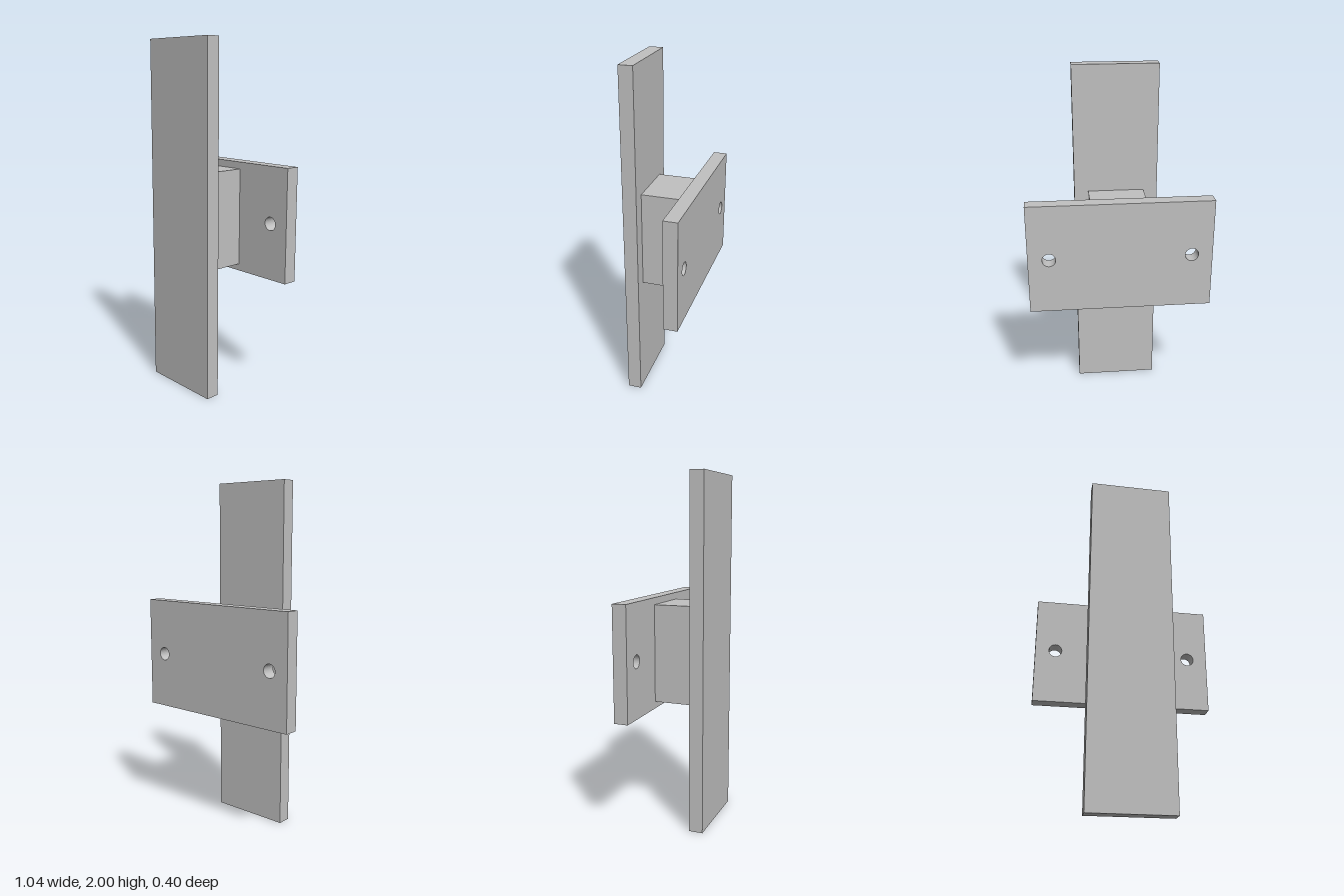
import * as THREE from 'three';

export function createModel() {
  const group = new THREE.Group();
  const grey = new THREE.MeshStandardMaterial({ color: 0xc0c0c0 });
  grey.name = 'grey';

  const add = (name, geometry, y, z) => {
    const mesh = new THREE.Mesh(geometry, grey);
    mesh.name = name;
    mesh.position.set(0, y, z);
    group.add(mesh);
  };

  // Tall front plate and the block joining it to the mount
  add('frontPlate', new THREE.BoxGeometry(0.48, 2, 0.08), 1, 0.16);
  add('spacerBlock', new THREE.BoxGeometry(0.32, 0.56, 0.24), 1, 0);

  // Wide mounting plate with two through screw holes
  const w = 0.518, h = 0.32;
  const outline = new THREE.Shape([
    new THREE.Vector2(-w, -h), new THREE.Vector2(w, -h),
    new THREE.Vector2(w, h), new THREE.Vector2(-w, h),
  ]);
  for (const side of [-1, 1]) {
    outline.holes.push(new THREE.Path().absarc(side * 0.4, 0, 0.038, 0, Math.PI * 2, true));
  }
  add('mountingPlate', new THREE.ExtrudeGeometry(outline, {
    depth: 0.08, bevelEnabled: false, curveSegments: 32,
  }), 1, -0.2);

  return group;
}
